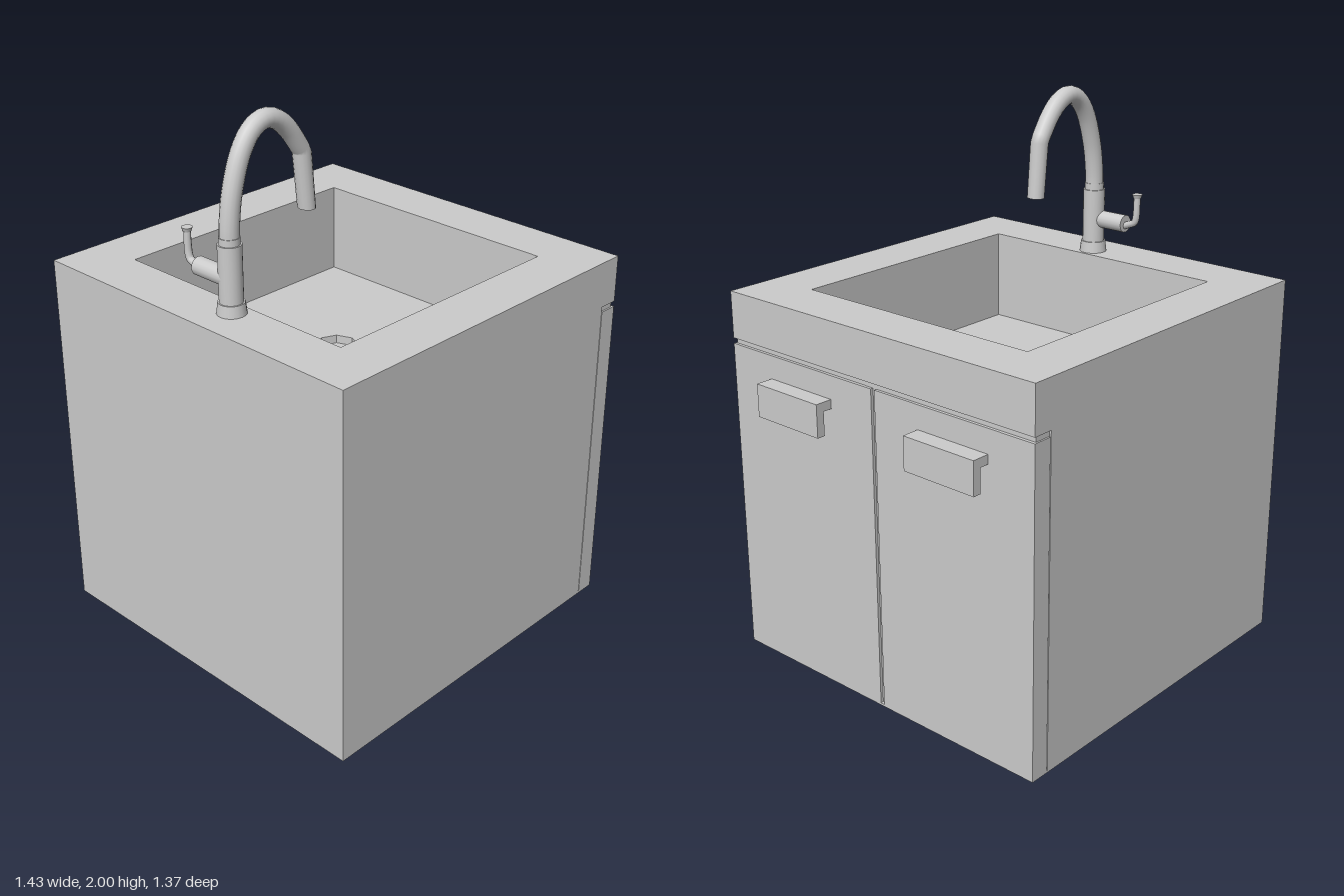
import * as THREE from 'three';

const mat = new THREE.MeshStandardMaterial({ color: 0xcccccc });
const flatMat = new THREE.MeshStandardMaterial({ color: 0xcccccc, flatShading: true });

function add(parent, name, geometry, x = 0, y = 0, z = 0, material = flatMat) {
  const mesh = new THREE.Mesh(geometry, material);
  mesh.name = name;
  mesh.position.set(x, y, z);
  parent.add(mesh);
  return mesh;
}

// Box given by its minimum and maximum corners
function block(parent, name, [x0, y0, z0], [x1, y1, z1]) {
  return add(parent, name, new THREE.BoxGeometry(x1 - x0, y1 - y0, z1 - z0),
    (x0 + x1) / 2, (y0 + y1) / 2, (z0 + z1) / 2);
}

// Counter-clockwise rectangle in the plan
function rectPoints(x0, x1, z0, z1) {
  return [[x0, z1], [x1, z1], [x1, z0], [x0, z0]].map(([x, z]) => new THREE.Vector2(x, -z));
}

// Horizontal plate with a hole, extruded upwards from y0 to y1
function holedPlate(parent, name, outline, hole, y0, y1) {
  const shape = new THREE.Shape(outline);
  shape.holes.push(new THREE.Path(hole));
  const geometry = new THREE.ExtrudeGeometry(shape, { depth: y1 - y0, bevelEnabled: false });
  geometry.rotateX(-Math.PI / 2);
  return add(parent, name, geometry, 0, y0, 0);
}

function buildCabinet(group) {
  const left = -0.715, front = 0.649, back = -0.685, near = 0.682;
  const basin = [-0.52, 0.455, -0.49, 0.485];
  const floorY = 1.035, base = 0.008, slabY = 1.195;

  // Bottom plate, hollow carcass and worktop around the basin
  block(group, 'bottomPanel', [left, 0, back], [front, base, near]);
  holedPlate(group, 'carcass', rectPoints(left, 0.575, back, near), rectPoints(...basin), base, slabY);
  holedPlate(group, 'worktop', rectPoints(left, front, back, near), rectPoints(...basin), slabY, 1.365);

  // Basin floor with an eight-sided drain
  const drain = [];
  for (let i = 0; i < 8; i++) {
    const a = (i / 8) * Math.PI * 2;
    drain.push(new THREE.Vector2(-0.032 + 0.074 * Math.cos(a), 0.001 + 0.078 * Math.sin(a)));
  }
  holedPlate(group, 'basinFloor', rectPoints(...basin), drain, floorY - 0.03, floorY);
  add(group, 'drain', new THREE.CylinderGeometry(0.085, 0.085, 0.02, 8), -0.032, floorY - 0.04, 0);

  // Backing seen through the gaps around the doors
  block(group, 'doorBacking', [0.575, base, back + 0.006], [0.638, slabY, near - 0.006]);

  // Two doors with L-shaped pulls
  const profile = new THREE.Shape([
    [0.64, 1.09], [0.64, 1.057], [0.683, 1.057], [0.683, 0.97], [0.714, 0.97], [0.714, 1.09],
  ].map(([x, y]) => new THREE.Vector2(x, y)));
  const doors = [
    ['leftDoor', back, -0.013, -0.5],
    ['rightDoor', 0.003, near, 0.194],
  ];
  for (const [name, z0, z1, pullZ] of doors) {
    const door = new THREE.Group();
    door.name = name;
    block(door, 'doorPanel', [0.578, base, z0], [front, 1.175, z1]);
    add(door, 'doorPull', new THREE.ExtrudeGeometry(profile, { depth: 0.296, bevelEnabled: false }), 0, 0, pullZ);
    group.add(door);
  }
}

// Round tube along a curve, narrowing in the xy plane towards a level-cut, closed end
function pipe(parent, name, curve, steps, radius, sides, endScale) {
  const geometry = new THREE.TubeGeometry(curve, steps, radius, sides, false);
  const p = geometry.attributes.position;
  const ring = sides + 1;
  for (let i = 0; i <= steps; i++) {
    const c = curve.getPointAt(i / steps);
    const s = 1 + (endScale - 1) * Math.max(0, (i / steps - 0.6) / 0.4);
    for (let k = i * ring; k < (i + 1) * ring; k++) {
      p.setX(k, c.x + (p.getX(k) - c.x) * s);
      p.setY(k, i === steps ? c.y : c.y + (p.getY(k) - c.y) * s);
    }
  }
  add(parent, name, geometry, 0, 0, 0, mat);
  const end = curve.getPointAt(1);
  const cap = add(parent, name + 'End', new THREE.CircleGeometry(radius, sides), end.x, end.y, end.z);
  cap.scale.x = endScale;
  cap.rotation.x = Math.sign(curve.getTangentAt(1).y) * -Math.PI / 2;
}

function buildTap(group) {
  const tap = new THREE.Group();
  tap.name = 'tap';
  tap.position.set(-0.58, 0, 0.066);
  group.add(tap);

  // Foot, body and collar
  add(tap, 'tapFoot', new THREE.CylinderGeometry(0.045, 0.05, 0.04, 20), 0, 1.385, 0, mat);
  add(tap, 'tapBody', new THREE.CylinderGeometry(0.04, 0.04, 0.2, 20), 0, 1.5, 0, mat);
  add(tap, 'tapCollar', new THREE.CylinderGeometry(0.035, 0.035, 0.024, 20), 0, 1.612, 0, mat);

  // Gooseneck spout: smooth arch, then a straight nozzle
  const arch = new THREE.CatmullRomCurve3([
    [0, 1.59], [0.002, 1.66], [0.019, 1.77], [0.06, 1.885], [0.108, 1.946],
    [0.158, 1.966], [0.207, 1.953], [0.258, 1.91], [0.318, 1.826],
  ].map(([x, y]) => new THREE.Vector3(x, y, 0)));
  const spout = new THREE.CurvePath();
  spout.add(arch);
  spout.add(new THREE.LineCurve3(new THREE.Vector3(0.318, 1.826, 0), new THREE.Vector3(0.337, 1.627, 0)));
  pipe(tap, 'spout', spout, 40, 0.033, 16, 0.84);

  // Side valve, bent lever and knob
  const valve = add(tap, 'valve', new THREE.CylinderGeometry(0.032, 0.032, 0.14, 16), -0.008, 1.488, -0.071, mat);
  valve.rotation.x = Math.PI / 2;
  const lever = new THREE.CatmullRomCurve3([
    [1.478, -0.13], [1.491, -0.165], [1.499, -0.181], [1.518, -0.188], [1.597, -0.191],
  ].map(([y, z]) => new THREE.Vector3(-0.008, y, z)));
  pipe(tap, 'lever', lever, 18, 0.013, 10, 0.85);
  add(tap, 'leverKnob', new THREE.CylinderGeometry(0.019, 0.014, 0.014, 14), -0.008, 1.599, -0.191, mat);
}

export function createModel() {
  const group = new THREE.Group();
  group.name = 'sinkCabinet';
  buildCabinet(group);
  buildTap(group);
  return group;
}
